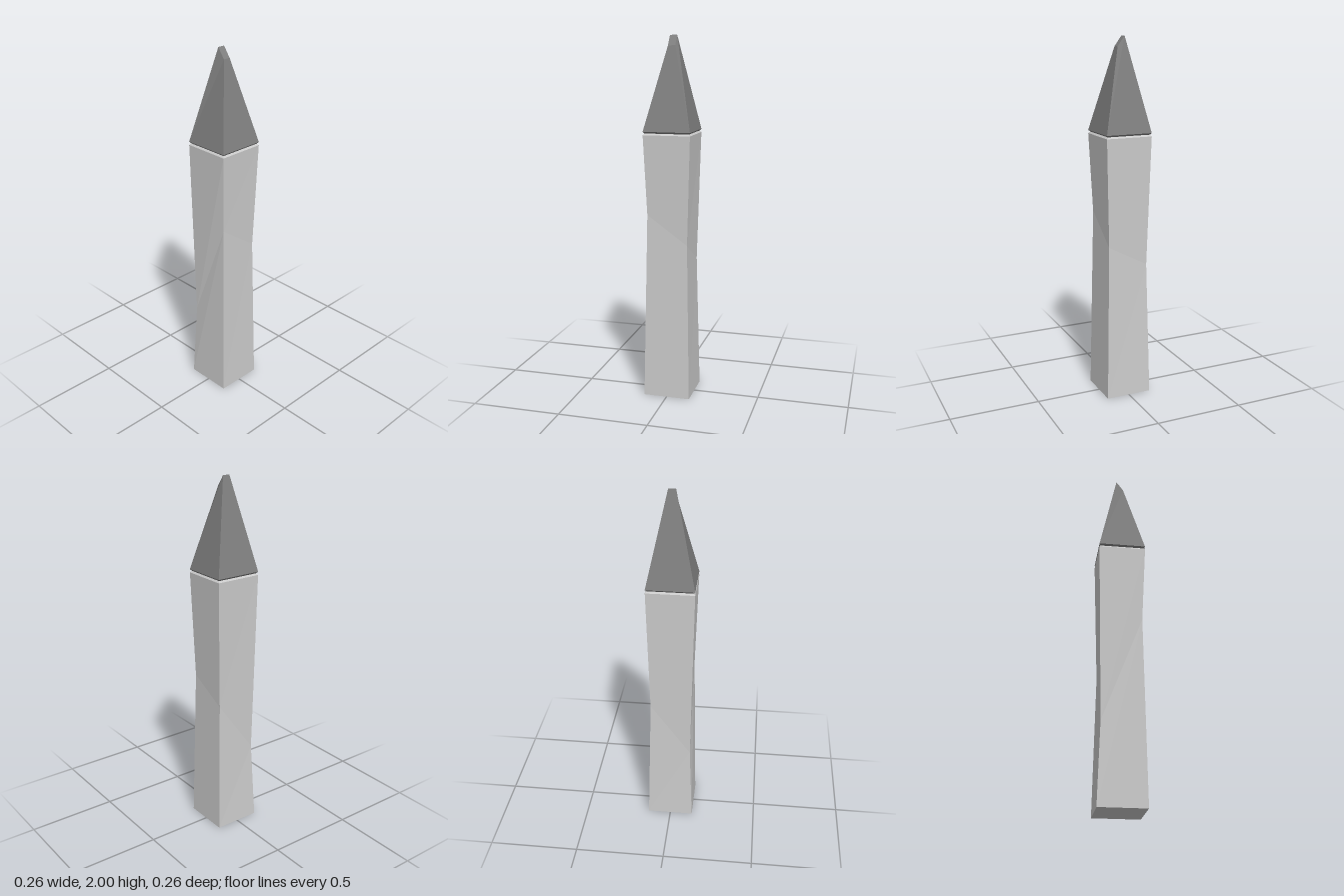
import * as THREE from 'three';

// Corner signs, counter-clockwise seen from above
const CORNERS = [[-1, 1], [1, 1], [1, -1], [-1, -1]];

// Four-sided ring: half width plus one height, or a height per corner
const ring = (half, y) =>
  CORNERS.map(([sx, sz], i) => [sx * half, Array.isArray(y) ? y[i] : y, sz * half]);

// Skin a stack of four-corner rings and cap both ends, flat shaded
function loft(name, rings, color) {
  const pos = [];
  const quad = (a, b, c, d) => pos.push(...a, ...b, ...c, ...a, ...c, ...d);
  for (let r = 0; r < rings.length - 1; r++) {
    const lo = rings[r], hi = rings[r + 1];
    for (let i = 0; i < 4; i++) {
      const j = (i + 1) % 4;
      quad(lo[i], lo[j], hi[j], hi[i]);
    }
  }
  quad(...[...rings[0]].reverse());
  quad(...rings[rings.length - 1]);
  const geo = new THREE.BufferGeometry();
  geo.setAttribute('position', new THREE.Float32BufferAttribute(pos, 3));
  geo.computeVertexNormals();
  const mesh = new THREE.Mesh(geo, new THREE.MeshStandardMaterial({ color, flatShading: true }));
  mesh.name = name;
  return mesh;
}

export function createModel() {
  const group = new THREE.Group();
  group.name = 'spikedPost';

  // Post with a rough hewn waist: each corner pinches in at its own height
  group.add(loft('post', [
    ring(0.13, 0),
    ring(0.112, [0.45, 1.04, 0.88, 0.76]),
    ring(0.13, 1.476),
    ring(0.122, 1.485),
  ], 0xcccccc));

  // Darker pointed cap, its blunt tip cut at a slant
  group.add(loft('spike', [
    ring(0.122, 1.485),
    ring(0.13, 1.494),
    ring(0.02, [2, 1.945, 1.945, 2]),
  ], 0x808080));

  return group;
}
